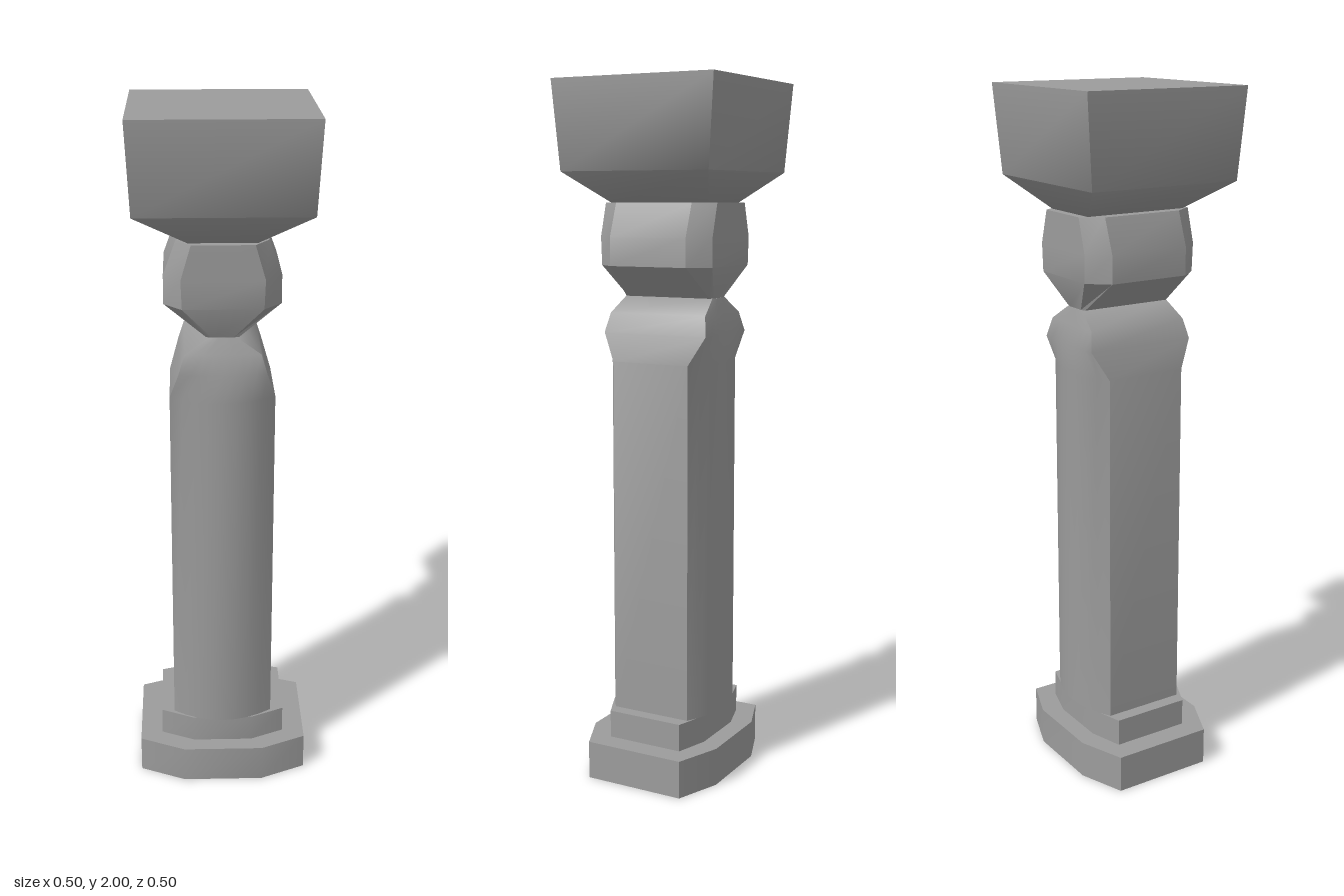
import * as THREE from 'three';
import { toCreasedNormals } from 'three/addons/utils/BufferGeometryUtils.js';

// Skins a stack of rings [[x, z], ...] at given heights and caps both ends.
function loft(name, sections, crease) {
  const pos = [], idx = [], n = sections[0].ring.length;
  for (const { y, ring } of sections) for (const [x, z] of ring) pos.push(x, y, z);
  for (let s = 0; s < sections.length - 1; s++) {
    for (let i = 0; i < n; i++) {
      const a = s * n + i, b = s * n + (i + 1) % n;
      idx.push(a, b, b + n, a, b + n, a + n);
    }
  }
  const bottom = pos.length / 3, top = bottom + 1, last = (sections.length - 1) * n;
  pos.push(0, sections[0].y, 0, 0, sections.at(-1).y, 0);
  for (let i = 0; i < n; i++) {
    const j = (i + 1) % n;
    idx.push(bottom, j, i, top, last + i, last + j);
  }
  const geo = new THREE.BufferGeometry();
  geo.setAttribute('position', new THREE.Float32BufferAttribute(pos, 3));
  geo.setIndex(idx);
  const mesh = new THREE.Mesh(toCreasedNormals(geo, crease),
    new THREE.MeshStandardMaterial({ color: 0x9c9c9c }));
  mesh.name = name;
  return mesh;
}

// Flat-sided plan with bowed front and back; zc is the corner, zf and zb the crowns.
function bowed(x, zc, zf, zb, segments) {
  const ring = [];
  for (const [side, crown] of [[1, zf], [-1, zb]]) {
    for (let i = 0; i <= segments; i++) {
      const t = -1 + 2 * i / segments;
      ring.push([side * t * x, side * (zc + (crown - zc) * (1 - t * t))]);
    }
  }
  return ring;
}

// Slab whose front and back are bowed in three straight runs.
function slab(name, y0, y1, x, zc, zf, zb) {
  const k = x * 0.47;
  const ring = [[-x, zc], [-k, zf], [k, zf], [x, zc], [x, -zc], [k, -zb], [-k, -zb], [-x, -zc]];
  return loft(name, [{ y: y0, ring }, { y: y1, ring }], 0.6);
}

// Rectangle with chamfered corners: side faces at xs, front and back faces at zf.
const chamfered = (xs, zs, xf, zf) =>
  [[-xf, zf], [xf, zf], [xs, zs], [xs, -zs], [xf, -zf], [-xf, -zf], [-xs, -zs], [-xs, zs]];

const rect = (x, z) => [[-x, z], [x, z], [x, -z], [-x, -z]];

export function createModel() {
  const group = new THREE.Group();
  group.name = 'column';

  // Stepped plinth
  group.add(slab('plinth', 0, 0.11, 0.25, 0.15, 0.21, 0.2));
  group.add(slab('plinthStep', 0.11, 0.19, 0.185, 0.115, 0.16, 0.145));

  // Shaft, drawn in to a narrow ridge at the neck
  group.add(loft('shaft', [
    { y: 0.19, ring: bowed(0.147, 0.12, 0.175, 0.163, 8) },
    { y: 1.22, ring: bowed(0.147, 0.12, 0.175, 0.163, 8) },
    { y: 1.3, ring: bowed(0.122, 0.163, 0.172, 0.167, 8) },
    { y: 1.355, ring: bowed(0.105, 0.152, 0.157, 0.154, 8) },
    { y: 1.4, ring: bowed(0.038, 0.14, 0.142, 0.142, 8) },
  ], 0.8));

  // Faceted knot above the neck
  group.add(loft('knot', [
    { y: 1.4, ring: chamfered(0.045, 0.135, 0.03, 0.14) },
    { y: 1.49, ring: chamfered(0.16, 0.12, 0.11, 0.177) },
    { y: 1.57, ring: chamfered(0.16, 0.12, 0.113, 0.178) },
    { y: 1.665, ring: chamfered(0.125, 0.12, 0.085, 0.178) },
  ], 0.5));

  // Square capital flaring out of the knot
  group.add(loft('capital', [
    { y: 1.66, ring: rect(0.085, 0.15) },
    { y: 1.75, ring: rect(0.238, 0.23) },
    { y: 2, ring: rect(0.25, 0.25) },
  ], 1.1));

  return group;
}
